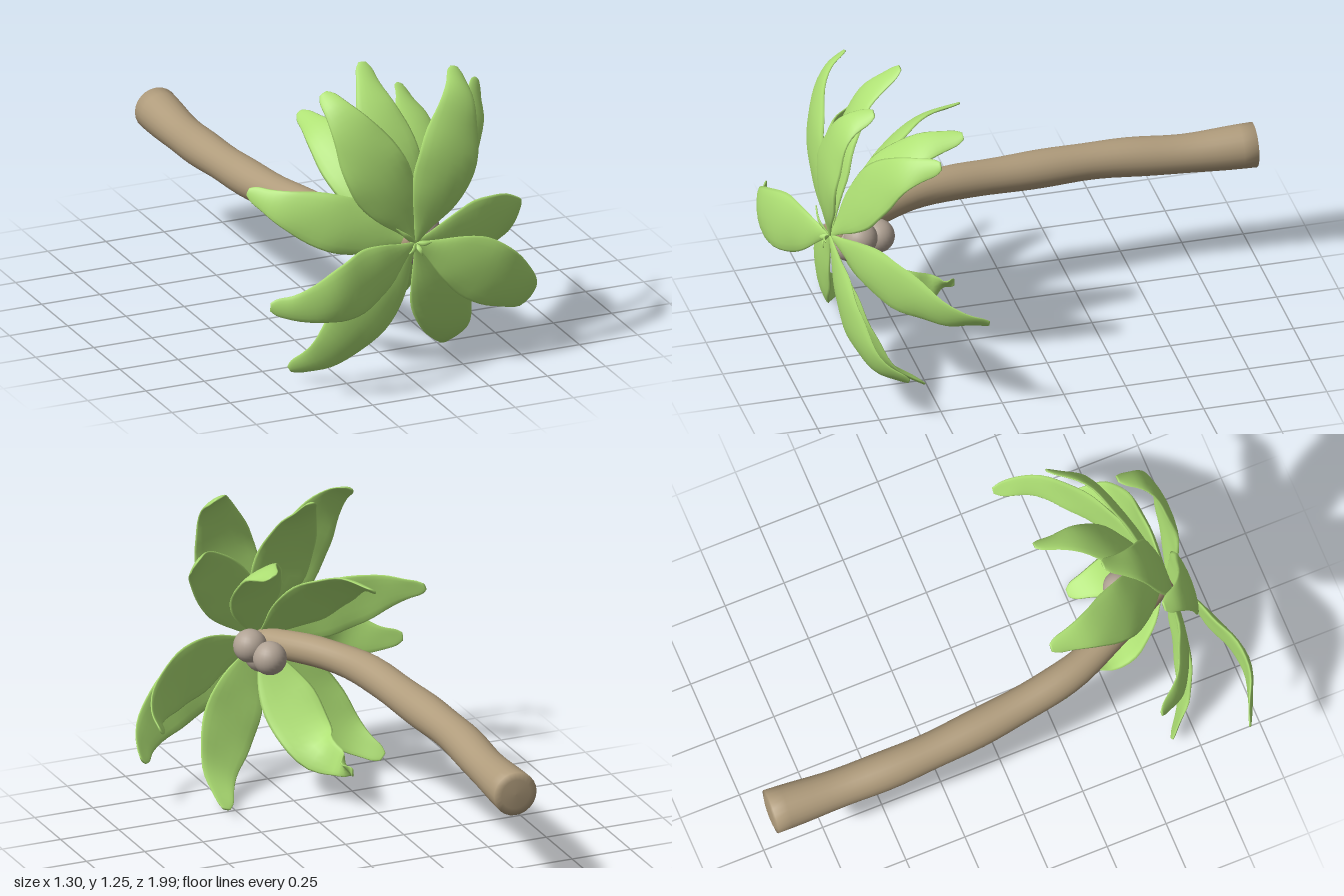
import * as THREE from 'three';

const V = (a) => new THREE.Vector3(...a);
const green = new THREE.MeshStandardMaterial({ color: 0xaee074 });
const bark = new THREE.MeshStandardMaterial({ color: 0xb09c7c });
const nutColor = new THREE.MeshStandardMaterial({ color: 0xb0a294 });

// Closed skin of oval rings along a path; each ring is { t, w, h, arch }:
// place on the path, half width, half thickness, drop of the side edges.
function loft(points, rings, ref, sides) {
  const curve = new THREE.CatmullRomCurve3(points.map(V));
  const pos = [], index = [];
  rings.forEach(({ t, w, h, arch = 0 }, i) => {
    const p = curve.getPointAt(t), T = curve.getTangentAt(t);
    const W = new THREE.Vector3().crossVectors(ref, T).normalize();
    const N = new THREE.Vector3().crossVectors(T, W);
    for (let j = 0; j < sides; j++) {
      const a = (j / sides) * Math.PI * 2, c = Math.cos(a);
      const q = p.clone().addScaledVector(W, w * c).addScaledVector(N, h * Math.sin(a) - arch * c * c);
      pos.push(q.x, q.y, q.z);
      if (i === rings.length - 1) continue;
      const k = (j + 1) % sides, r = i * sides, s = r + sides;
      index.push(r + j, r + k, s + j, r + k, s + k, s + j);
    }
  });
  const g = new THREE.BufferGeometry();
  g.setAttribute('position', new THREE.Float32BufferAttribute(pos, 3));
  g.setIndex(index);
  g.computeVertexNormals();
  return g;
}

// Leaf outline: narrow stem, broad middle, blunt tip
const outline = new THREE.SplineCurve(
  [[0, 0.008], [0.1, 0.04], [0.25, 0.098], [0.4, 0.13], [0.58, 0.122], [0.74, 0.088], [0.88, 0.054], [0.96, 0.038], [1, 0.018]]
    .map(([x, y]) => new THREE.Vector2(x, y)));

function leafRings(scale, n) {
  const rings = [{ t: 0, w: 0, h: 0 }];
  for (let i = 0; i <= n; i++) {
    const p = outline.getPoint(i / n);
    const t = THREE.MathUtils.clamp(p.x, 0, 1), w = p.y * scale;
    rings.push({ t, w, h: 0.003 + w * 0.1, arch: w * (0.08 + 0.03 * Math.sin(t * 22)) });
  }
  rings.push({ t: 1, w: 0, h: 0 });
  return rings;
}

export function createModel() {
  const model = new THREE.Group();
  model.name = 'palmTree';
  const add = (name, geometry, material, parent = model) => {
    const m = new THREE.Mesh(geometry, material);
    m.name = name;
    parent.add(m);
    return m;
  };

  // Trunk lying along z, bending into the crown
  const trunkPath = [[-0.29, 0.54, -0.995], [-0.3, 0.538, -0.7], [-0.306, 0.558, -0.4], [-0.275, 0.572, 0],
    [-0.22, 0.595, 0.33], [-0.13, 0.6, 0.54], [-0.05, 0.59, 0.69], [0.01, 0.58, 0.81]];
  const trunkRings = [{ t: 0, w: 0, h: 0 }, { t: 0.001, w: 0.06, h: 0.06 }];
  for (let i = 0; i <= 32; i++) {
    const t = 0.004 + (i / 32) * 0.996;
    const r = 0.074 + 0.016 * Math.exp(-t * 7) - 0.02 * Math.max(0, t - 0.55) / 0.45 + 0.002 * Math.sin(t * 30);
    trunkRings.push({ t, w: r, h: r });
  }
  trunkRings.push({ t: 1, w: 0, h: 0 });
  add('trunk', loft(trunkPath, trunkRings, V([0, 1, 0]), 24), bark);

  // Crown: width scale, then the path of each leaf out from the heart
  const crown = new THREE.Group();
  crown.name = 'crown';
  model.add(crown);
  const leaves = [
    [1, [0.11, 0.85, 0.87], [0.165, 1.05, 0.855], [0.21, 1.19, 0.8], [0.235, 1.25, 0.7]],
    [1, [-0.14, 0.88, 0.84], [-0.235, 1.07, 0.805], [-0.29, 1.17, 0.745], [-0.315, 1.215, 0.67]],
    [0.95, [-0.06, 0.93, 0.75], [-0.085, 1.12, 0.66], [-0.075, 1.25, 0.51]],
    [0.9, [0.2, 0.85, 0.72], [0.35, 1.02, 0.62], [0.43, 1.085, 0.48]],
    [0.9, [0.1, 0.86, 0.65], [0.145, 1.0, 0.5], [0.17, 1.05, 0.32]],
    [0.9, [-0.14, 0.83, 0.57], [-0.2, 0.93, 0.4], [-0.22, 0.96, 0.23]],
    [0.9, [-0.32, 0.7, 0.755], [-0.49, 0.76, 0.67], [-0.585, 0.8, 0.55]],
    [0.95, [-0.18, 0.53, 0.91], [-0.4, 0.475, 0.985], [-0.54, 0.445, 0.945], [-0.645, 0.45, 0.9]],
    [0.95, [-0.18, 0.33, 0.805], [-0.34, 0.145, 0.745], [-0.45, 0.065, 0.65]],
    [0.97, [0.15, 0.31, 0.76], [0.25, 0.12, 0.66], [0.285, 0.015, 0.51]],
    [1, [0.26, 0.45, 0.835], [0.43, 0.34, 0.81], [0.53, 0.26, 0.75], [0.58, 0.215, 0.65]],
    [0.9, [0.28, 0.56, 0.725], [0.48, 0.53, 0.605], [0.6, 0.49, 0.48], [0.64, 0.465, 0.34]],
    [0.9, [-0.05, 0.36, 0.67], [-0.09, 0.22, 0.5], [-0.14, 0.19, 0.38], [-0.15, 0.19, 0.27]],
  ];
  const forward = V([0, 0, 1]);
  leaves.forEach(([s, ...path], i) =>
    add('leaf' + (i + 1), loft([[0.015, 0.585, 0.82], ...path], leafRings(s, 28), forward, 16), green, crown));

  // Small sprouts at the heart of the crown
  const sprouts = [[-0.08, 0.67], [0.07, 0.59], [-0.025, 0.555], [0.03, 0.54]];
  sprouts.forEach(([x, y], i) => {
    const path = [[0.015, 0.585, 0.82], [(x + 0.015) / 2, (y + 0.585) / 2, 0.85], [x, y, 0.85]];
    add('sprout' + (i + 1), loft(path, leafRings(0.08, 10), forward, 8), green, crown);
  });

  // Coconuts hanging under the crown
  [[0.044, 0.57, 0.632], [0.092, 0.6, 0.715], [0.03, 0.54, 0.745]].forEach((p, i) =>
    add('coconut' + (i + 1), new THREE.SphereGeometry(0.067, 24, 16), nutColor).position.set(...p));

  return model;
}
